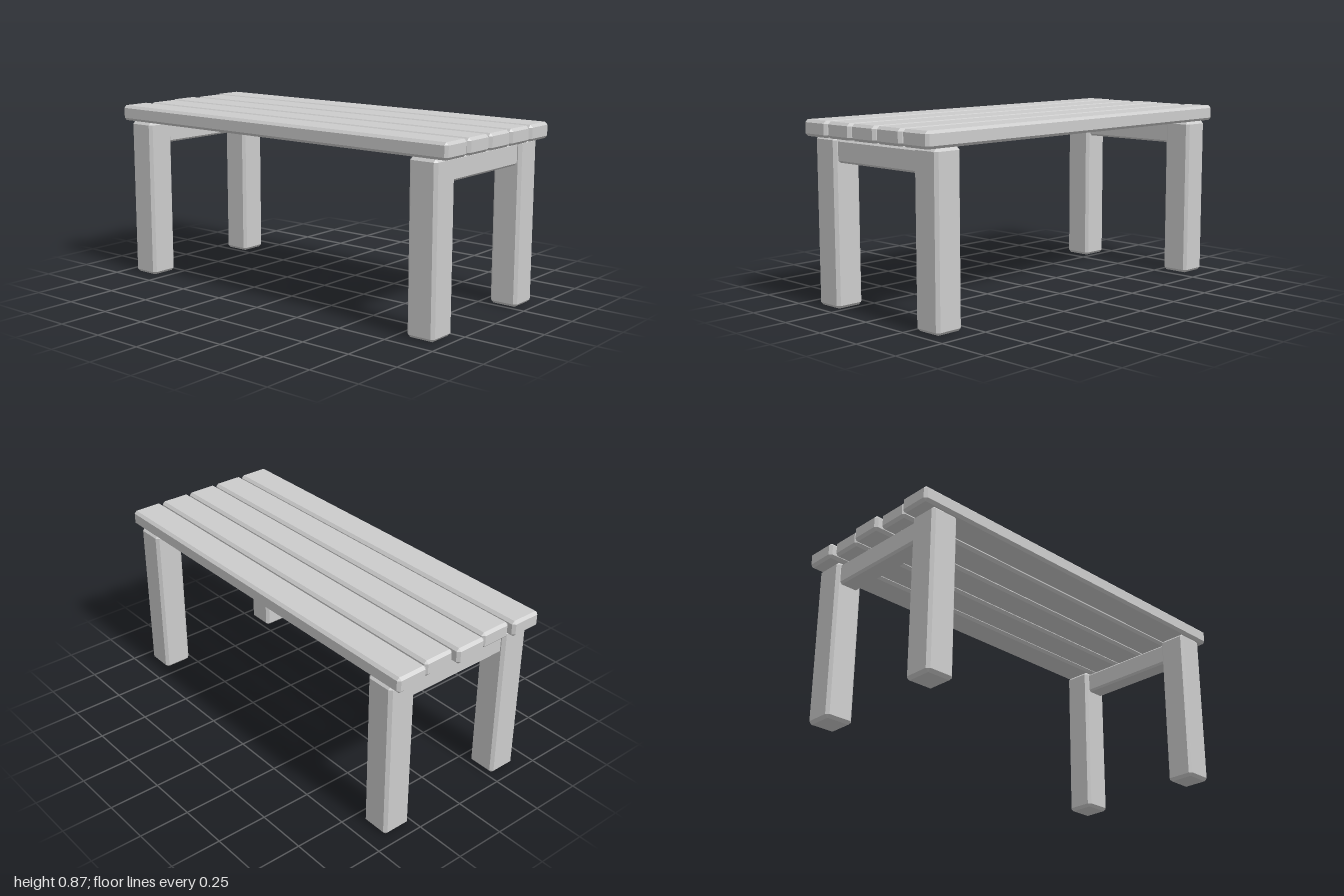
import * as THREE from 'three';
import { ConvexGeometry } from 'three/addons/geometries/ConvexGeometry.js';

// Box with flat chamfers on every edge, c = chamfer width
function chamferBox(w, h, d, c) {
  const points = [];
  for (const sx of [-1, 1]) for (const sy of [-1, 1]) for (const sz of [-1, 1]) {
    const x = w / 2, y = h / 2, z = d / 2;
    points.push(
      new THREE.Vector3(sx * x, sy * (y - c), sz * (z - c)),
      new THREE.Vector3(sx * (x - c), sy * y, sz * (z - c)),
      new THREE.Vector3(sx * (x - c), sy * (y - c), sz * z),
    );
  }
  return new ConvexGeometry(points);
}

export function createModel() {
  const group = new THREE.Group();
  const grey = new THREE.MeshStandardMaterial({ color: 0xcccccc });
  grey.name = 'plainGrey';

  const add = (name, geometry, x, y, z) => {
    const mesh = new THREE.Mesh(geometry, grey);
    mesh.name = name;
    mesh.position.set(x, y, z);
    group.add(mesh);
  };

  // Seat slats: every second one is cut a little short at the -x end
  const longSlat = chamferBox(2, 0.077, 0.161, 0.013);
  const shortSlat = chamferBox(1.98, 0.077, 0.161, 0.013);
  for (let i = 0; i < 5; i++) {
    const short = i % 2 === 1;
    add('seatSlat' + (i + 1), short ? shortSlat : longSlat, short ? 0.01 : 0, 0.8345, (i - 2) * 0.1705);
  }

  // Four legs, and a rail joining each end pair
  const leg = chamferBox(0.144, 0.796, 0.146, 0.014);
  const rail = chamferBox(0.102, 0.107, 0.58, 0.01);
  for (const sx of [-1, 1]) {
    const side = sx > 0 ? 'left' : 'right';
    add(side + 'FrontLeg', leg, sx * 0.873, 0.398, 0.341);
    add(side + 'BackLeg', leg, sx * 0.873, 0.398, -0.341);
    add(side + 'Rail', rail, sx * 0.875, 0.7325, 0);
  }
  return group;
}
